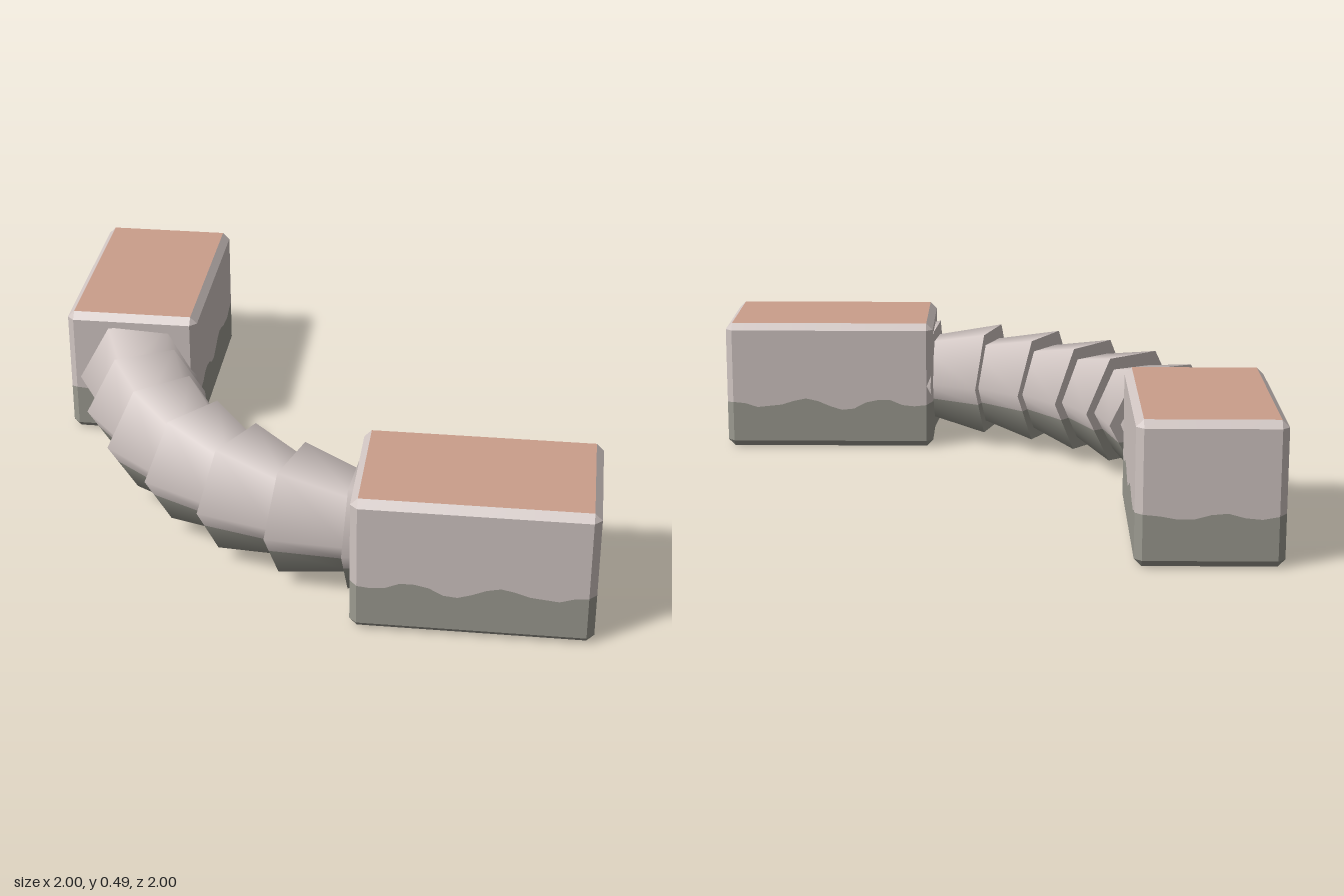
import * as THREE from 'three';

const paint = (name, color, side = THREE.FrontSide) => {
  const m = new THREE.MeshStandardMaterial({ color, side });
  m.name = name;
  return m;
};

const BEVEL = 0.025, HALF_L = 0.4025, HALF_W = 0.245, HEIGHT = 0.49;
const AXIS_Y = 0.245, STAIN_Y = 0.178;

// Wavy stain line along the long and short walls
const LONG_WAVE = [.17, .165, .17, .19, .19, .18, .155, .15, .165, .185, .195, .185, .17, .165, .16, .175, .18];
const SHORT_WAVE = [.18, .175, .165, .165, .18, .185, .17, .165, .175];

function makeGeometry(pos, nor) {
  const g = new THREE.BufferGeometry();
  g.setAttribute('position', new THREE.Float32BufferAttribute(pos, 3));
  if (nor) g.setAttribute('normal', new THREE.Float32BufferAttribute(nor, 3));
  else g.computeVertexNormals();
  return g;
}

function addMesh(group, name, geometry, material) {
  const m = new THREE.Mesh(geometry, material);
  m.name = name;
  group.add(m);
  return m;
}

// Flat faced band between two closed rings
function band(low, high, out) {
  const tri = (a, b, c) => {
    const area = b.clone().sub(a).cross(c.clone().sub(a)).length();
    if (area > 1e-8) out.push(...a, ...b, ...c);
  };
  low.forEach((a, i) => {
    const j = (i + 1) % low.length;
    tri(a, low[j], high[j]);
    tri(a, high[j], high[i]);
  });
}

// Bevelled block, long side on x, joint at its -x end
function makeBlock(mats) {
  const group = new THREE.Group();
  const lx = HALF_L - BEVEL, wz = HALF_W - BEVEL;
  const wave = [];
  const side = (heights, place) => {
    const n = heights.length - 1;
    heights.forEach((h, i) => wave.push(place(i / n * 2 - 1, h)));
  };
  const V = (x, y, z) => new THREE.Vector3(x, y, z);
  side(LONG_WAVE, (t, h) => V(t * lx, h, HALF_W));
  side(SHORT_WAVE, (t, h) => V(HALF_L, h, -t * wz));
  side([...LONG_WAVE].reverse(), (t, h) => V(-t * lx, h, -HALF_W));
  side(SHORT_WAVE, (t, h) => V(-HALF_L, h, t * wz));

  const level = y => wave.map(p => V(p.x, y, p.z));
  const inset = y => wave.map(p => V(
    THREE.MathUtils.clamp(p.x, -lx, lx), y, THREE.MathUtils.clamp(p.z, -wz, wz)));

  const upper = [], lower = [];
  band(wave, level(HEIGHT - BEVEL), upper);
  band(level(HEIGHT - BEVEL), inset(HEIGHT), upper);
  band(inset(0), level(BEVEL), lower);
  band(level(BEVEL), wave, lower);
  addMesh(group, 'upperWalls', makeGeometry(upper), mats.plaster);
  addMesh(group, 'stainedWalls', makeGeometry(lower), mats.stain);

  // Clay coloured top and bottom faces
  const panel = new THREE.PlaneGeometry(2 * lx, 2 * wz);
  const top = addMesh(group, 'topPanel', panel, mats.clay);
  top.rotation.x = -Math.PI / 2;
  top.position.y = HEIGHT;
  const bottom = addMesh(group, 'bottomPanel', panel, mats.clay);
  bottom.rotation.x = Math.PI / 2;
  return group;
}

// Part of a hexagonal section above or below the stain line: [x, y, normalX, normalY]
function section(radius, isUpper) {
  const corner = k => {
    const c = Math.cos(k * Math.PI / 3), s = Math.sin(k * Math.PI / 3);
    return [c * radius, s * radius, c, s];
  };
  const f = (AXIS_Y - STAIN_Y) / (radius * Math.sin(Math.PI / 3));
  const mix = (a, b) => a.map((v, i) => v + (b[i] - v) * f);
  const right = mix(corner(0), corner(5)), left = mix(corner(3), corner(4));
  return isUpper
    ? [right, corner(0), corner(1), corner(2), corner(3), left]
    : [left, corner(4), corner(5), right];
}

// Tapered collar along +z with its wide, capped end at z = 0
function collarPart(wideR, narrowR, length, isUpper) {
  const wide = section(wideR, isUpper), narrow = section(narrowR, isUpper);
  const pos = [], nor = [];
  const slope = (wideR - narrowR) / length;
  const put = (p, z) => {
    pos.push(p[0], p[1], z);
    nor.push(...new THREE.Vector3(p[2], p[3], slope).normalize());
  };
  for (let i = 0; i < wide.length - 1; i++) {
    put(wide[i], 0); put(wide[i + 1], 0); put(narrow[i + 1], length);
    put(wide[i], 0); put(narrow[i + 1], length); put(narrow[i], length);
  }
  for (let i = 1; i < wide.length - 1; i++) {
    for (const p of [wide[0], wide[i + 1], wide[i]]) {
      pos.push(p[0], p[1], 0);
      nor.push(0, 0, -1);
    }
  }
  return makeGeometry(pos, nor);
}

export function createModel() {
  const model = new THREE.Group();
  model.name = 'bentConnector';
  const mats = {
    plaster: paint('palePlaster', 0xd0c5c2),
    stain: paint('greenGreyStain', 0x9b9a90),
    clay: paint('clay', 0xcb9e8b),
  };

  // End blocks
  const rear = makeBlock(mats);
  rear.name = 'rearBlock';
  rear.rotation.y = Math.PI / 2;
  rear.position.set(-0.757, 0, -0.5975);
  const front = makeBlock(mats);
  front.name = 'frontBlock';
  front.position.set(0.5975, 0, 0.755);
  model.add(rear, front);

  // Overlapping collars along the bend: x, z, heading in degrees
  const collars = [
    [-0.735, -0.22, 16], [-0.668, 0.0, 27], [-0.565, 0.21, 38.5], [-0.42, 0.392, 50],
    [-0.243, 0.547, 61.5], [-0.037, 0.662, 73], [0.184, 0.73, 85],
  ];
  const upper = collarPart(0.225, 0.16, 0.28, true);
  const lower = collarPart(0.225, 0.16, 0.28, false);
  collars.forEach(([x, z, heading], i) => {
    const collar = new THREE.Group();
    collar.name = `collar${i + 1}`;
    addMesh(collar, 'collarUpper', upper, mats.plaster);
    addMesh(collar, 'collarStain', lower, mats.stain);
    collar.position.set(x, AXIS_Y, z);
    collar.rotation.y = THREE.MathUtils.degToRad(heading);
    model.add(collar);
  });
  return model;
}
